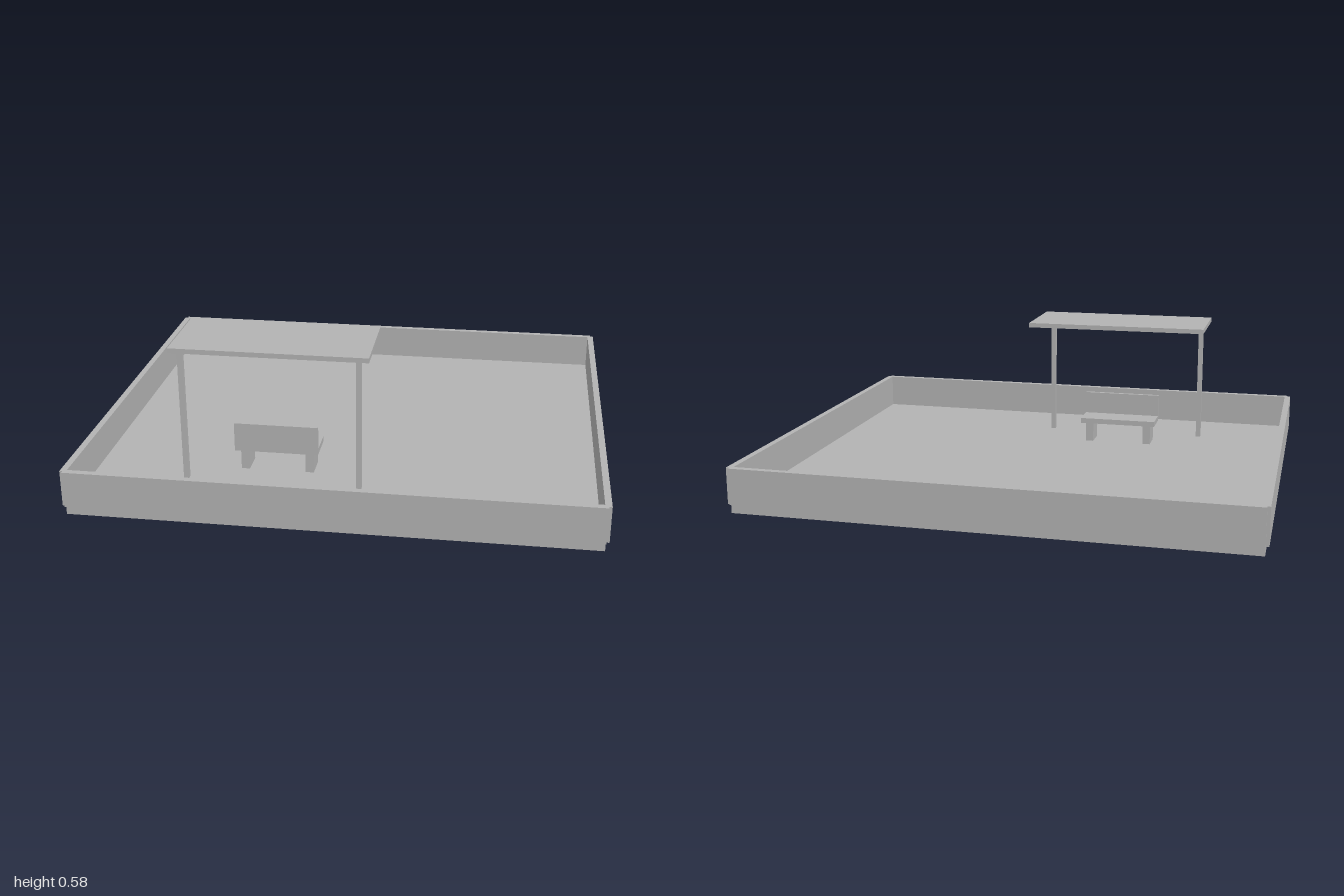
import * as THREE from 'three';

export function createModel() {
  const model = new THREE.Group();
  model.name = 'walledTerrace';
  const grey = new THREE.MeshStandardMaterial({ color: 0xb2b2b2 });
  grey.name = 'concreteGrey';

  // Box given by its lower and upper limits on each axis
  const addBox = (parent, name, [x0, x1], [y0, y1], [z0, z1]) => {
    const mesh = new THREE.Mesh(new THREE.BoxGeometry(x1 - x0, y1 - y0, z1 - z0), grey);
    mesh.position.set((x0 + x1) / 2, (y0 + y1) / 2, (z0 + z1) / 2);
    mesh.name = name;
    parent.add(mesh);
  };
  const addGroup = (name) => {
    const group = new THREE.Group();
    group.name = name;
    model.add(group);
    return group;
  };
  const around = (c, size) => [c - size / 2, c + size / 2];

  const floorTop = 0.035;
  const wallTop = 0.177;
  const shelterX = -0.266; // shared centre of shelter and bench

  // Floor slab
  addBox(model, 'floorSlab', [-0.987, 0.987], [0, floorTop], [-0.855, 0.855]);

  // Perimeter walls, slightly overhanging the slab
  const walls = addGroup('walls');
  const wallY = [floorTop, wallTop];
  addBox(walls, 'frontWall', [-0.988, 0.988], wallY, [0.842, 0.867]);
  addBox(walls, 'backWall', [-0.988, 0.988], wallY, [-0.867, -0.842]);
  addBox(walls, 'leftWall', [0.975, 1], wallY, [-0.855, 0.855]);
  addBox(walls, 'rightWall', [-1, -0.975], wallY, [-0.855, 0.855]);

  // Shelter: flat roof cantilevered from two posts
  const shelter = addGroup('shelter');
  addBox(shelter, 'shelterRoof', around(shelterX, 0.758), [0.56, 0.579], [0.254, 0.592]);
  for (const side of [-1, 1]) {
    addBox(shelter, side > 0 ? 'leftPost' : 'rightPost',
      around(shelterX + side * 0.338, 0.02), [floorTop, 0.56], around(0.565, 0.022));
  }

  // Bench facing the back
  const bench = addGroup('bench');
  addBox(bench, 'seat', around(shelterX, 0.33), [0.12, 0.142], [0.35, 0.48]);
  addBox(bench, 'backrest', around(shelterX, 0.33), [0.142, 0.236], [0.465, 0.48]);
  for (const side of [-1, 1]) {
    addBox(bench, side > 0 ? 'leftLeg' : 'rightLeg',
      around(shelterX + side * 0.128, 0.033), [floorTop, 0.12], [0.368, 0.462]);
  }
  return model;
}
